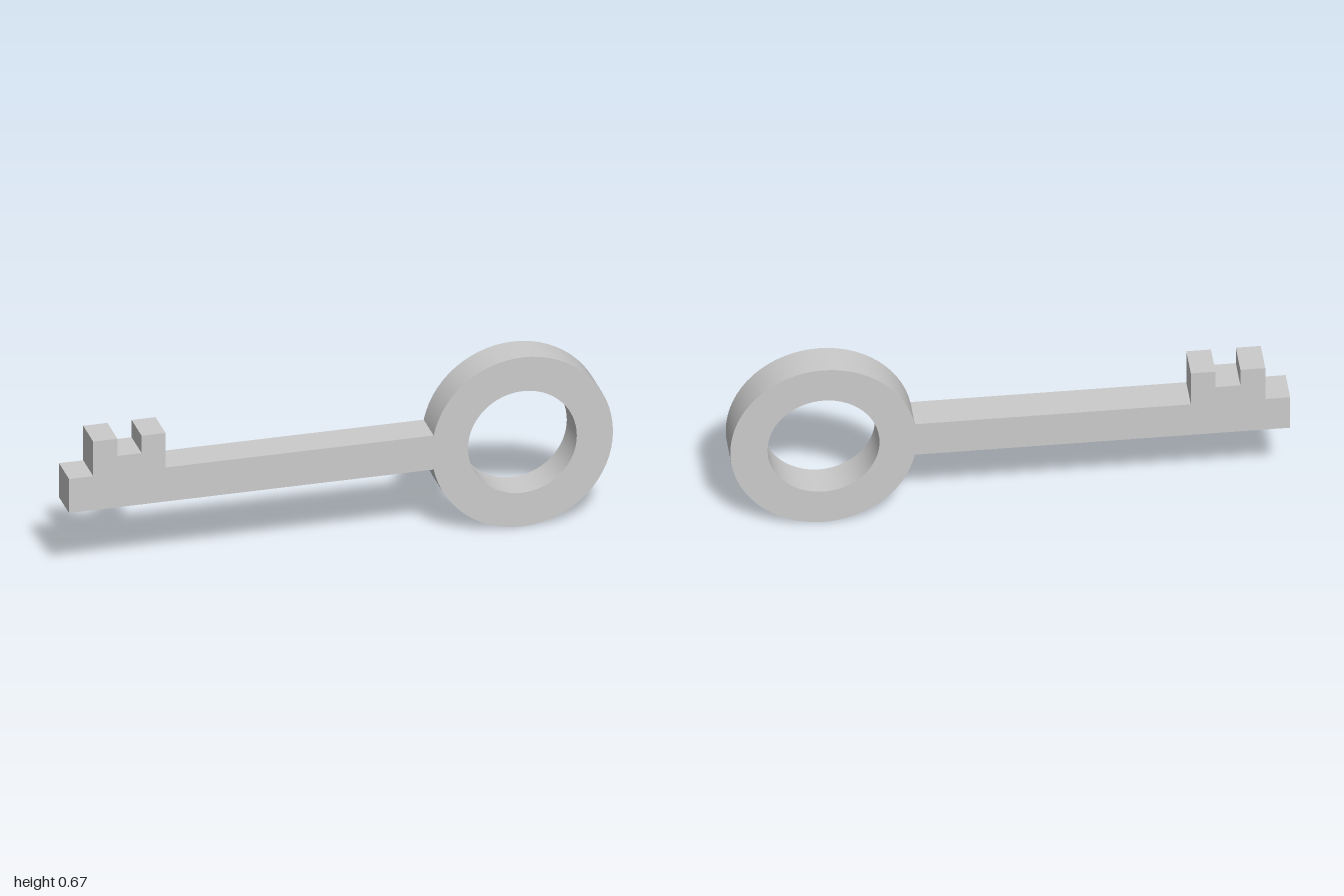
import * as THREE from 'three';
import { toCreasedNormals } from 'three/addons/utils/BufferGeometryUtils.js';

export function createModel() {
  const group = new THREE.Group();
  const material = new THREE.MeshStandardMaterial({ color: 0xcccccc });
  const depth = 0.134, d = depth / 2;
  const cx = 0.667, cy = 0.335, outer = 0.333, inner = 0.2;
  const half = 0.067; // half the height of the shaft
  const top = cy + half, bottom = cy - half;

  const add = (name, geometry) => {
    const mesh = new THREE.Mesh(geometry, material);
    mesh.name = name;
    group.add(mesh);
  };
  // Full-depth block between two x and two y positions
  const block = (name, x0, x1, y0, y1) => add(name,
    new THREE.BoxGeometry(x1 - x0, y1 - y0, depth).translate((x0 + x1) / 2, (y0 + y1) / 2, 0));

  // Round bow: a square-edged ring with its axis along z
  const profile = [[inner, -d], [outer, -d], [outer, d], [inner, d], [inner, -d]]
    .map(([x, y]) => new THREE.Vector2(x, y));
  const ring = new THREE.LatheGeometry(profile, 64).rotateX(Math.PI / 2).translate(cx, cy, 0);
  add('bow', toCreasedNormals(ring, Math.PI / 6));

  // Shaft, ending where its corners meet the bow
  block('shaft', -1, cx - Math.sqrt(outer ** 2 - half ** 2), bottom, top);

  // Bit: a low base carrying two teeth
  const bitTop = 0.47, toothTop = 0.538;
  block('bitBase', -0.911, -0.645, top, bitTop);
  block('outerTooth', -0.911, -0.822, bitTop, toothTop);
  block('innerTooth', -0.733, -0.645, bitTop, toothTop);

  return group;
}
